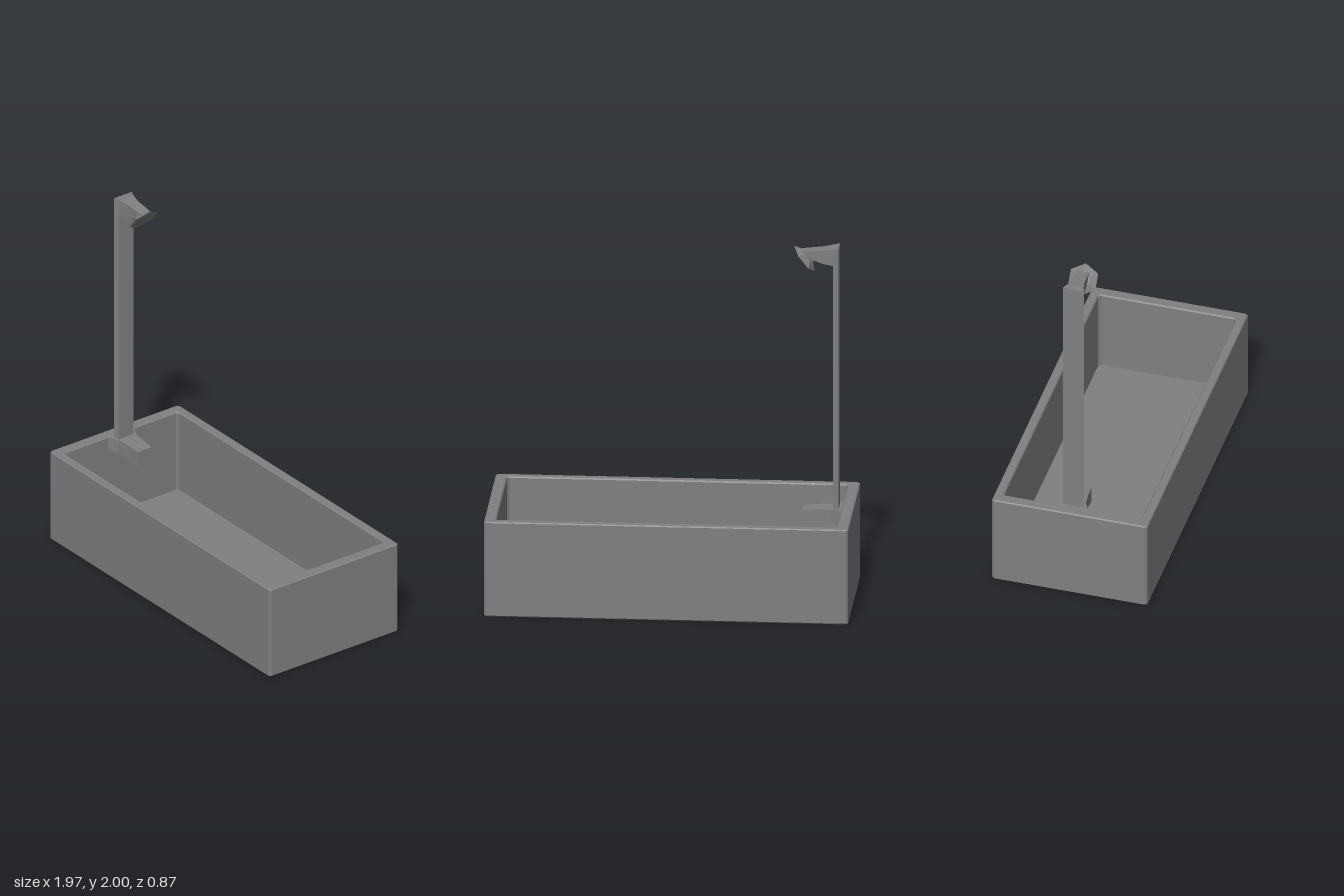
import * as THREE from 'three';

// Skin a solid through matching rings of [x, y, z]; rings wind counter-clockwise around the path
function loft(rings) {
  const pos = [];
  const tri = (a, b, c) => pos.push(...a, ...b, ...c);
  const n = rings[0].length;
  for (let r = 0; r < rings.length - 1; r++) {
    const a = rings[r], b = rings[r + 1];
    for (let i = 0; i < n; i++) {
      const j = (i + 1) % n;
      tri(a[i], a[j], b[j]);
      tri(a[i], b[j], b[i]);
    }
  }
  const first = rings[0], last = rings[rings.length - 1];
  for (let i = 1; i < n - 1; i++) {
    tri(first[0], first[i + 1], first[i]);
    tri(last[0], last[i], last[i + 1]);
  }
  const g = new THREE.BufferGeometry();
  g.setAttribute('position', new THREE.Float32BufferAttribute(pos, 3));
  g.computeVertexNormals();
  return g;
}

// Horizontal rectangle with clipped corners
function clippedRect(y, hx, hz, c) {
  return [
    [hx - c, y, hz], [hx, y, hz - c], [hx, y, c - hz], [hx - c, y, -hz],
    [c - hx, y, -hz], [-hx, y, c - hz], [-hx, y, hz - c], [c - hx, y, hz],
  ];
}

// Upright rectangle across x, with its own x at top and bottom
function section(xTop, xBottom, top, bottom, w) {
  return [[xTop, top, -w], [xTop, top, w], [xBottom, bottom, w], [xBottom, bottom, -w]];
}

export function createModel() {
  const model = new THREE.Group();
  const grey = new THREE.MeshStandardMaterial({ color: 0x808080 });
  grey.name = 'grey';
  const add = (name, geometry) => {
    const mesh = new THREE.Mesh(geometry, grey);
    mesh.name = name;
    model.add(mesh);
    return mesh;
  };

  // Hollow tub: outer wall, rim, inner wall, floor
  add('tub', loft([
    clippedRect(0, 0.98, 0.432, 0.012),
    clippedRect(0.006, 0.986, 0.437, 0.012),
    clippedRect(0.529, 0.986, 0.437, 0.012),
    clippedRect(0.535, 0.98, 0.432, 0.012),
    clippedRect(0.535, 0.928, 0.392, 0.012),
    clippedRect(0.528, 0.922, 0.386, 0.012),
    clippedRect(0.06, 0.922, 0.386, 0.012),
  ]));

  // Upright post, narrower towards the tub
  const postRing = (y) => [
    [-0.905, y, 0.06], [-0.875, y, 0.048], [-0.875, y, -0.048], [-0.905, y, -0.06],
  ];
  add('showerPost', loft([postRing(0.47), postRing(2)]));

  // Flared spout at the foot of the post
  add('spout', loft([
    section(-0.925, -0.925, 0.53, 0.455, 0.09),
    section(-0.865, -0.865, 0.53, 0.45, 0.058),
    section(-0.79, -0.79, 0.527, 0.445, 0.05),
    section(-0.71, -0.71, 0.52, 0.425, 0.045),
  ]));

  // Arm tapering into the shower head
  add('showerArm', loft([
    section(-0.895, -0.895, 2, 1.905, 0.056),
    section(-0.875, -0.875, 1.998, 1.905, 0.048),
    section(-0.82, -0.82, 1.99, 1.912, 0.036),
    section(-0.705, -0.745, 1.978, 1.935, 0.032),
  ]));

  // Tilted six-sided shower head, wide face down and outwards
  const head = add('showerHead',
    new THREE.CylinderGeometry(0.045, 0.089, 0.026, 6).toNonIndexed());
  head.geometry.computeVertexNormals();
  head.geometry.rotateY(Math.PI / 2 * (1 / 1));
  head.geometry.rotateZ(Math.atan2(0.14, 0.11));
  head.position.set(-0.727, 1.938, 0);

  return model;
}
